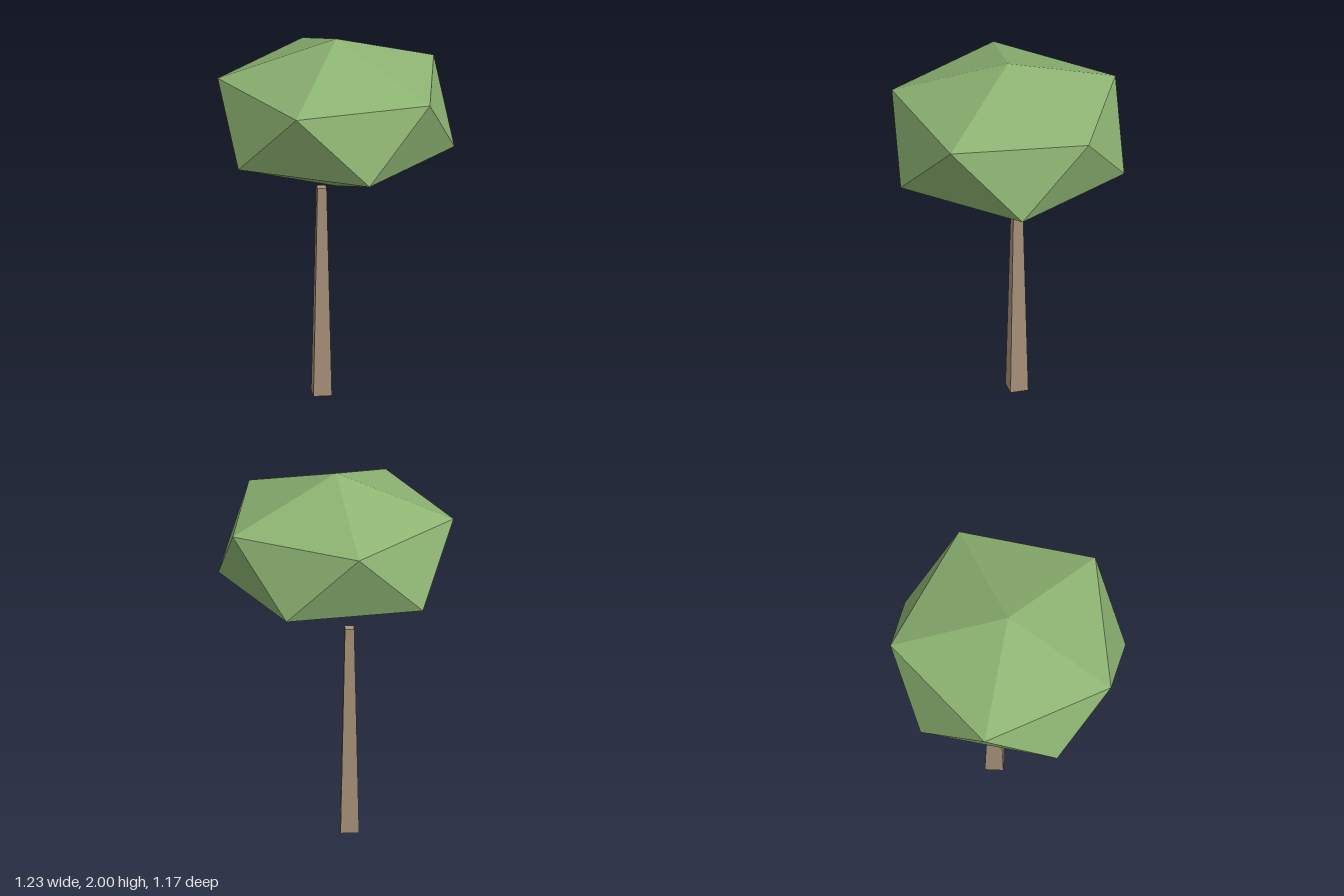
import * as THREE from 'three';

const foliage = new THREE.MeshStandardMaterial({ name: 'leaf green', color: 0x8db372, flatShading: true });
const bark = new THREE.MeshStandardMaterial({ name: 'bark brown', color: 0xa8927a, flatShading: true });

// Squashed twenty-sided crown: two staggered rings of five between two poles
function crownGeometry(radius, top, upper, lower, bottom) {
  const ring = (i, y, offset) => {
    const a = ((i + offset) * Math.PI * 2) / 5;
    return [radius * Math.cos(a), y, radius * Math.sin(a)];
  };
  const points = [];
  for (let i = 0; i < 5; i++) {
    const u0 = ring(i, upper, 0), u1 = ring(i + 1, upper, 0);
    const l0 = ring(i, lower, 0.5), l1 = ring(i + 1, lower, 0.5);
    points.push([0, top, 0], u1, u0);
    points.push(u0, u1, l0);
    points.push(l0, u1, l1);
    points.push([0, bottom, 0], l0, l1);
  }
  const geometry = new THREE.BufferGeometry();
  geometry.setAttribute('position', new THREE.Float32BufferAttribute(points.flat(), 3));
  geometry.computeVertexNormals();
  return geometry;
}

export function createModel() {
  const tree = new THREE.Group();
  tree.name = 'tree';

  const crown = new THREE.Mesh(crownGeometry(0.615, 2, 1.773, 1.405, 1.178), foliage);
  crown.name = 'crown';

  // Four-sided tapered trunk, set off centre below the crown
  const trunk = new THREE.Mesh(new THREE.CylinderGeometry(0.034, 0.068, 1.15, 4), bark);
  trunk.name = 'trunk';
  trunk.position.set(-0.095, 0.575, 0);

  tree.add(crown, trunk);
  return tree;
}
